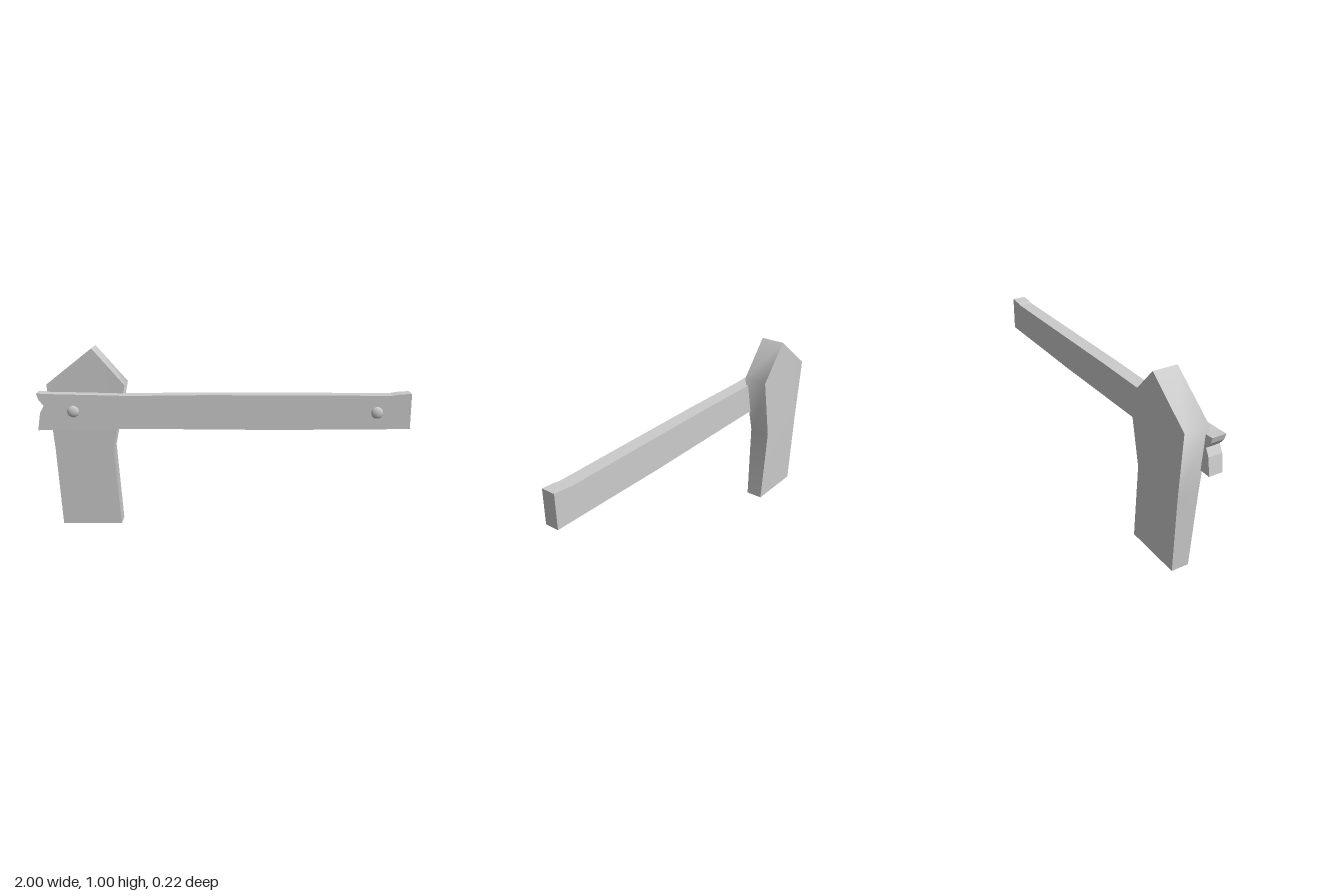
import * as THREE from 'three';
import { toCreasedNormals } from 'three/addons/utils/BufferGeometryUtils.js';

const material = new THREE.MeshStandardMaterial({ color: 0xcccccc });

// Extrudes an outline (counter-clockwise, seen from the front) from zBack to zFront
function slab(points, zBack, zFront) {
  const shape = new THREE.Shape(points.map(([x, y]) => new THREE.Vector2(x, y)));
  const geometry = new THREE.ExtrudeGeometry(shape, { depth: zFront - zBack, bevelEnabled: false });
  return geometry.translate(0, 0, zBack);
}

function addPart(group, name, geometry) {
  const mesh = new THREE.Mesh(geometry, material);
  mesh.name = name;
  group.add(mesh);
  return mesh;
}

export function createModel() {
  const group = new THREE.Group();
  group.name = 'signpost';

  // Post with a pointed top, thinner towards the ground
  const post = slab([
    [-0.91, 0], [-0.58, 0], [-0.61, 0.44], [-0.535, 0.8],
    [-0.707, 1], [-0.957, 0.805], [-0.93, 0.44],
  ], 0, 1);
  const pos = post.attributes.position;
  for (let i = 0; i < pos.count; i++) {
    const t = Math.min(pos.getY(i) / 0.8, 1);
    const front = THREE.MathUtils.lerp(0.01, 0.03, t);
    const back = THREE.MathUtils.lerp(-0.088, -0.107, t);
    pos.setZ(i, pos.getZ(i) > 0.5 ? front : back);
  }
  addPart(group, 'post', toCreasedNormals(post, THREE.MathUtils.degToRad(82)));

  // Long board with a notched, splintered right end
  addPart(group, 'board', slab([
    [-1, 0.566], [-0.8, 0.572], [-0.55, 0.575], [-0.1, 0.572], [0.3, 0.569], [0.6, 0.572], [1, 0.575],
    [1, 0.768], [0.93, 0.763], [0.9, 0.757], [-0.1, 0.76], [-0.5, 0.755], [-0.95, 0.765], [-1, 0.768],
    [-0.99, 0.735], [-0.963, 0.7], [-0.985, 0.66],
  ], 0.015, 0.093));

  // Domed nail heads
  for (const [name, x, y] of [['rightNail', -0.807, 0.67], ['leftNail', 0.82, 0.664]]) {
    const nail = addPart(group, name, new THREE.SphereGeometry(0.032, 24, 16));
    nail.scale.z = 0.5;
    nail.position.set(x, y, 0.092);
  }
  return group;
}
